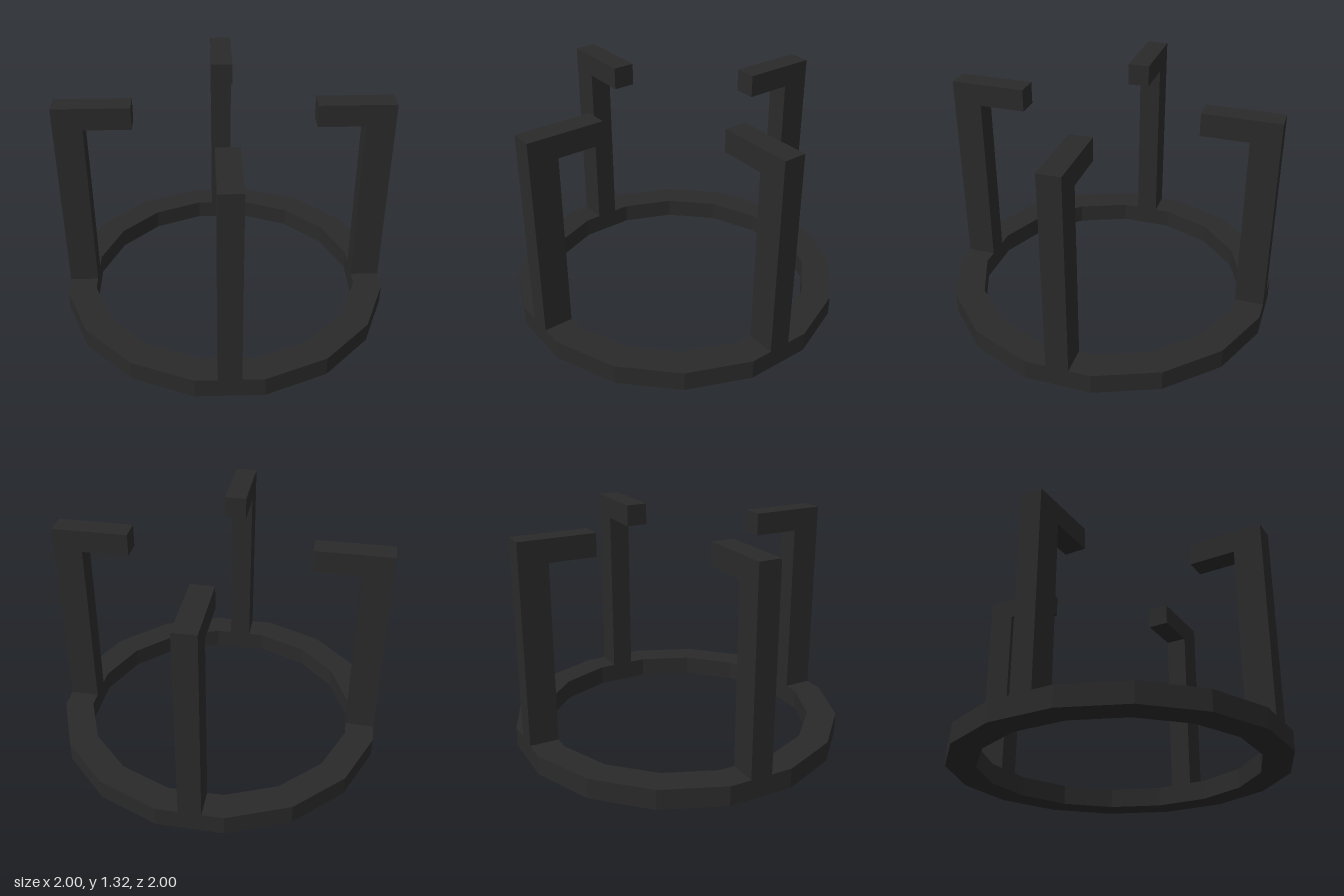
import * as THREE from 'three';

const SIDES = 16;
const RING_HEIGHT = 0.12;
const OUTER = 1, INNER = 0.825;
const APOTHEM = Math.cos(Math.PI / SIDES); // facet distance for radius 1

function polygon(radius) {
  return Array.from({ length: SIDES }, (_, i) => {
    const a = (i / SIDES) * Math.PI * 2;
    return new THREE.Vector2(radius * Math.cos(a), radius * Math.sin(a));
  });
}

export function createModel() {
  const model = new THREE.Group();
  model.name = 'ringStand';
  const material = new THREE.MeshStandardMaterial({ color: 0x2a2a2a, flatShading: true });

  // Faceted base ring
  const ringShape = new THREE.Shape(polygon(OUTER));
  ringShape.holes.push(new THREE.Path(polygon(INNER)));
  const ringGeometry = new THREE.ExtrudeGeometry(ringShape, { depth: RING_HEIGHT, bevelEnabled: false });
  ringGeometry.rotateX(-Math.PI / 2);
  const ring = new THREE.Mesh(ringGeometry, material);
  ring.name = 'baseRing';
  model.add(ring);

  // Upright with an inward-pointing bar, flush with the ring facet
  const top = 1.32, barBottom = 1.185, barEnd = 0.53, width = 0.133;
  const legOuter = OUTER * APOTHEM, legInner = INNER * APOTHEM;
  const bracketShape = new THREE.Shape([
    [legInner, RING_HEIGHT], [legOuter, RING_HEIGHT], [legOuter, top],
    [barEnd, top], [barEnd, barBottom], [legInner, barBottom],
  ].map(([x, y]) => new THREE.Vector2(x, y)));
  const bracketGeometry = new THREE.ExtrudeGeometry(bracketShape, { depth: width, bevelEnabled: false });
  bracketGeometry.translate(0, 0, -width / 2);

  // Four brackets, a quarter turn apart, each centred on a facet
  for (let i = 0; i < 4; i++) {
    const bracket = new THREE.Mesh(bracketGeometry, material);
    bracket.name = `bracket${i + 1}`;
    bracket.rotation.y = -(3 * Math.PI / SIDES + i * Math.PI / 2);
    model.add(bracket);
  }
  return model;
}
